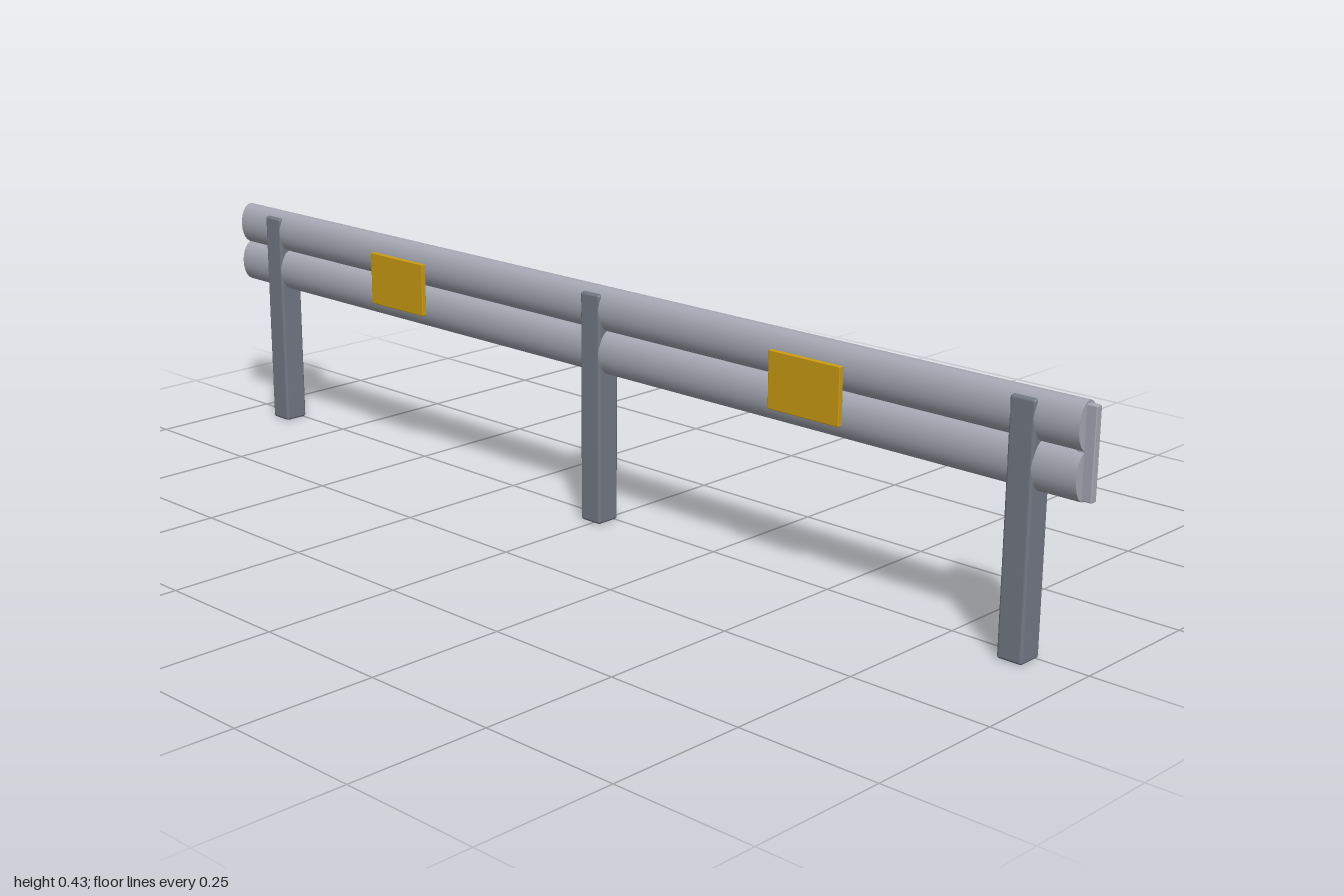
import * as THREE from 'three';
import { RoundedBoxGeometry } from 'three/addons/geometries/RoundedBoxGeometry.js';

export function createModel() {
  const group = new THREE.Group();
  group.name = 'guardRail';

  const mat = (name, color) => {
    const m = new THREE.MeshStandardMaterial({ color });
    m.name = name;
    return m;
  };
  const railSteel = mat('rail steel', 0xa6a9b4);
  const postSteel = mat('post steel', 0x737985);
  const yellow = mat('reflector yellow', 0xcc9c14);

  const add = (name, geometry, material, x, y, z) => {
    const mesh = new THREE.Mesh(geometry, material);
    mesh.name = name;
    mesh.position.set(x, y, z);
    group.add(mesh);
  };
  // Softened box given by its x, y and z extents
  const box = (name, material, [x0, x1], [y0, y1], [z0, z1], r) =>
    add(name, new RoundedBoxGeometry(x1 - x0, y1 - y0, z1 - z0, 2, r), material,
      (x0 + x1) / 2, (y0 + y1) / 2, (z0 + z1) / 2);

  // Two flattened round rails, stacked
  const railGeometry = new THREE.CylinderGeometry(1, 1, 1.983, 24);
  railGeometry.rotateX(Math.PI / 2);
  railGeometry.scale(0.0235, 0.039, 1);
  add('upperRail', railGeometry, railSteel, -0.018, 0.388, -0.0085);
  add('lowerRail', railGeometry, railSteel, -0.018, 0.311, -0.0085);

  // Narrow plate closing the front end
  box('endPlate', railSteel, [-0.0245, -0.0115], [0.275, 0.422], [0.97, 1], 0.002);

  // Posts with a spacer block on the left side
  for (const z of [0.885, -0.006, -0.897]) {
    box('post', postSteel, [-0.042, 0.005], [0, 0.416], [z - 0.023, z + 0.023], 0.005);
    box('spacerBlock', postSteel, [-0.012, 0.05], [0.294, 0.401], [z - 0.037, z + 0.037], 0.007);
  }

  // Reflector panels on the right side
  for (const z of [0.481, -0.508]) {
    box('reflector', yellow, [-0.052, -0.0425], [0.299, 0.397], [z - 0.073, z + 0.073], 0.0015);
  }

  return group;
}
